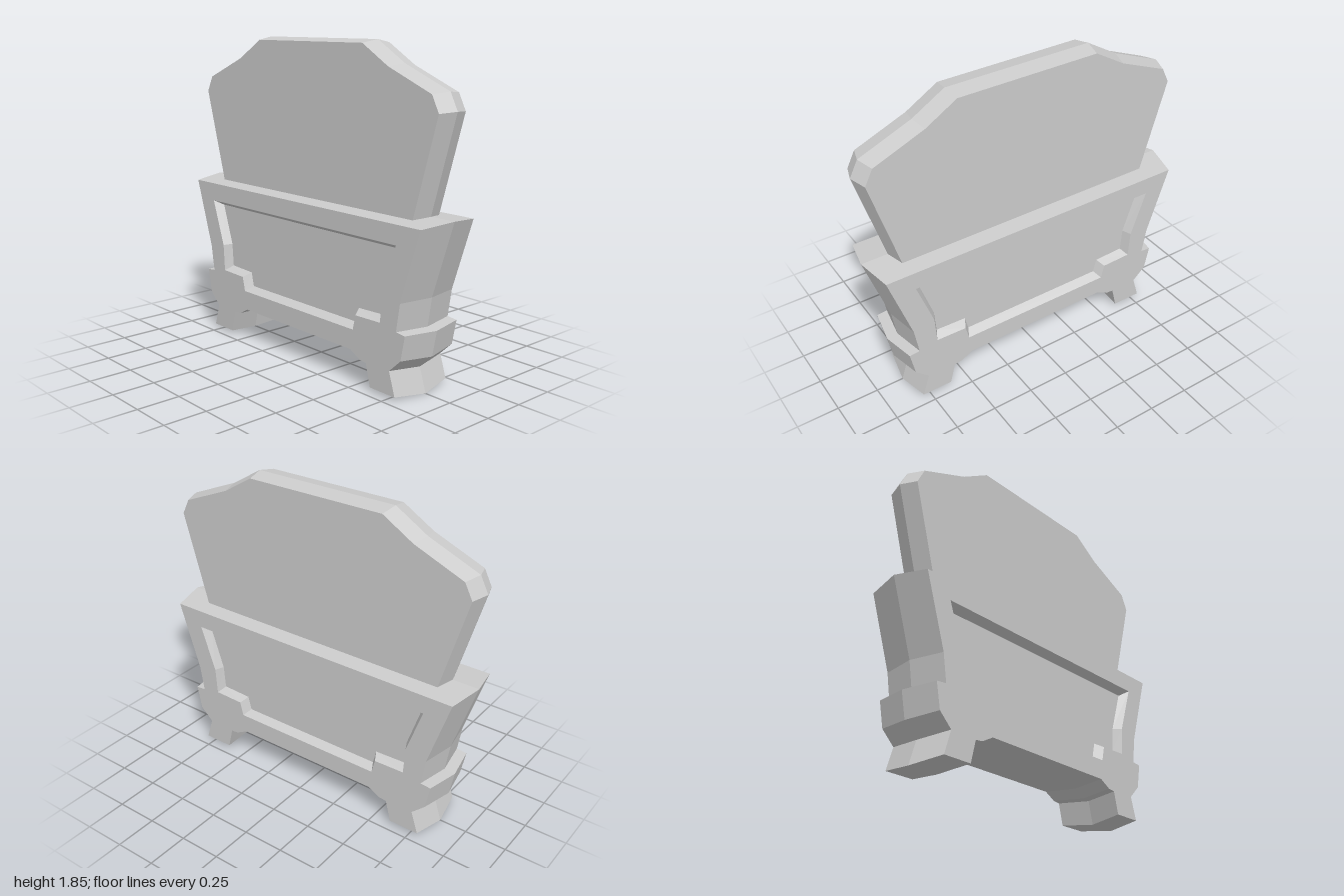
import * as THREE from 'three';

const material = new THREE.MeshStandardMaterial({ color: 0xcccccc, flatShading: true });

// Full counter-clockwise outline from its right half, listed bottom to top
const mirror = (half) => [...half, ...half.map(([x, y]) => [-x, y]).reverse()];

// Outline grown about a centre height
const grow = (pts, s, cy) => pts.map(([x, y]) => [x * s, cy + (y - cy) * s]);

const toPath = (pts) => pts.map(([x, y]) => new THREE.Vector2(x, y));

// Flat face, optionally with an opening
function face(name, pts, z, hole) {
  const shape = new THREE.Shape(toPath(pts));
  if (hole) shape.holes.push(new THREE.Path(toPath(hole)));
  const mesh = new THREE.Mesh(new THREE.ShapeGeometry(shape), material);
  mesh.position.z = z;
  mesh.name = name;
  return mesh;
}

// Band of quads joining outline a at za to outline b at zb
function band(name, a, za, b, zb) {
  const pos = [];
  a.forEach((p, i) => {
    const j = (i + 1) % a.length;
    const a0 = [...p, za], a1 = [...a[j], za];
    const b0 = [...b[i], zb], b1 = [...b[j], zb];
    pos.push(...a0, ...b0, ...b1, ...a0, ...b1, ...a1);
  });
  const geo = new THREE.BufferGeometry();
  geo.setAttribute('position', new THREE.Float32BufferAttribute(pos, 3));
  geo.computeVertexNormals();
  const mesh = new THREE.Mesh(geo, material);
  mesh.name = name;
  return mesh;
}

// Front half and the same half turned round for the back
function bothSides(name, buildHalf) {
  const group = new THREE.Group();
  group.name = name;
  ['Front', 'Back'].forEach((side, i) => {
    const half = new THREE.Group();
    half.name = name + side;
    half.add(...buildHalf());
    half.rotation.y = i * Math.PI;
    group.add(half);
  });
  return group;
}

export function createModel() {
  const model = new THREE.Group();
  model.name = 'bench';

  // Base with feet, shoulders and flared sides
  const base = mirror([
    [0.46, 0.195], [0.535, 0.155], [0.583, 0.15], [0.615, 0.022], [0.797, 0.022],
    [0.755, 0.155], [0.835, 0.23], [0.863, 0.372], [0.8, 0.378], [0.825, 0.535], [0.957, 0.94],
  ]);
  const baseRidge = grow(base, 1.045, 0.5);

  // Recessed panel: opening at the face and smaller floor
  const opening = mirror([[0.48, 0.31], [0.5, 0.395], [0.685, 0.4], [0.695, 0.56], [0.79, 0.832]]);
  const floor = mirror([[0.455, 0.337], [0.475, 0.42], [0.66, 0.427], [0.67, 0.565], [0.75, 0.803]]);
  const flip = (pts) => [...pts].reverse();

  model.add(bothSides('base', () => [
    face('baseFace', base, 0.2, opening),
    band('baseEdge', base, 0.2, baseRidge, 0),
    band('panelFrame', flip(opening), 0.2, flip(floor), 0.15),
    face('panel', floor, 0.15),
  ]));

  // Tall backboard rising out of the base
  const board = mirror([[0.78, 0.85], [0.967, 1.5], [0.92, 1.592], [0.62, 1.715], [0.432, 1.828]]);
  const boardRidge = grow(board, 1.034, 1.3);

  model.add(bothSides('backboard', () => [
    face('backboardFace', board, 0.1),
    band('backboardEdge', board, 0.1, boardRidge, 0),
  ]));

  return model;
}
